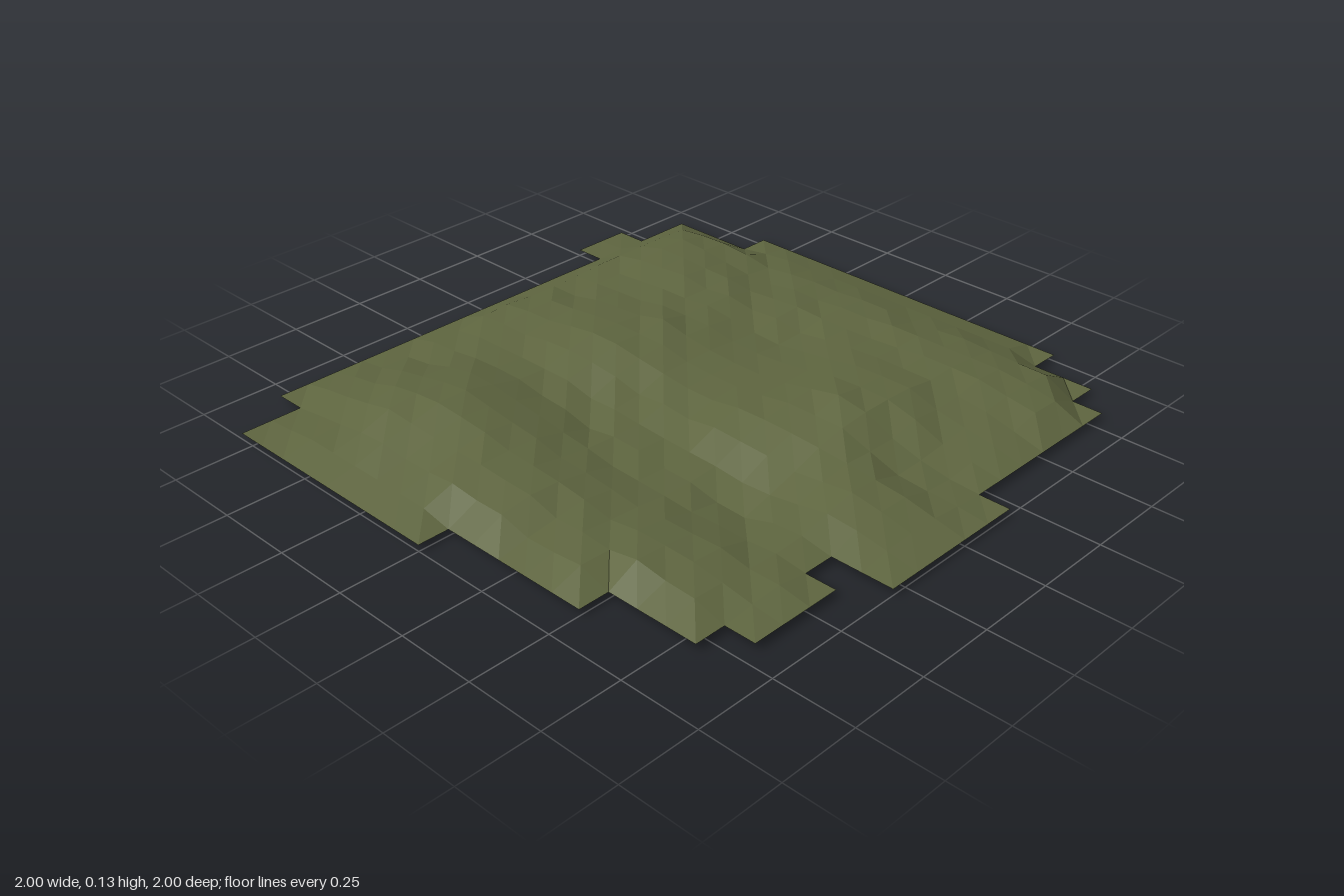
import * as THREE from 'three';

const N = 20, STEP = 0.1, EDGE = 0.02;

// Column ranges [from, to) of the ground cells in each row, back to front
const ROWS = [
  [[15, 17]], [[2, 19]], [[0, 19]], [[0, 19]],
  ...Array(6).fill([[0, 20]]),
  ...Array(5).fill([[1, 20]]),
  [[2, 20]], [[2, 19]], [[2, 19]], [[3, 6], [7, 18]], [[7, 12]],
];

// Highest ground along each column (left to right) and row (back to front), in hundredths
const CREST_X = [2, 4, 7.5, 10, 11.5, 11.5, 9.5, 7, 6.5, 9, 11, 10.5, 13, 11.5, 11, 9.5, 10, 9, 8, 4.5, 2];
const CREST_Z = [2, 2.5, 6.5, 9, 9, 11, 12, 12, 10.5, 8.5, 8, 8, 9, 11, 13, 11.5, 10.5, 8, 6.5, 4, 2];

// Hills and hollows: x, z, height, radius
const HILLS = [
  [-0.55, -0.4, 0.10, 0.3], [-0.68, 0.02, 0.06, 0.2], [-0.62, 0.5, 0.045, 0.25],
  [0.05, -0.32, 0.09, 0.22], [0.0, -0.7, 0.05, 0.25], [0.55, -0.6, 0.07, 0.3],
  [0.2, 0.38, 0.115, 0.27], [0.65, 0.5, 0.07, 0.28], [0.7, 0.0, 0.06, 0.3],
  [0.35, -0.25, 0.04, 0.2], [-0.1, 0.75, 0.045, 0.2], [0.05, 0.05, 0.04, 0.25],
  [-0.3, 0.45, -0.04, 0.15], [0.15, 0.67, -0.02, 0.12], [-0.28, -0.2, -0.02, 0.15],
  [0.75, -0.75, 0.03, 0.18], [0.65, 0.75, 0.03, 0.15],
];

function seeded(seed) {
  return () => (seed = (seed * 16807) % 2147483647) / 2147483647;
}

const hasCell = (i, j) => (ROWS[j] || []).some(([a, b]) => i >= a && i < b);

// Height field: the rim stays flat, the inside follows the hills under the crests
function makeHeights() {
  const rand = seeded(41);
  const heights = [];
  for (let j = 0; j <= N; j++) {
    for (let i = 0; i <= N; i++) {
      const x = -1 + i * STEP, z = -1 + j * STEP;
      let h = EDGE + (rand() - 0.5) * 0.016;
      for (const [hx, hz, height, r] of HILLS) {
        h += height * Math.exp(-((x - hx) ** 2 + (z - hz) ** 2) / (r * r));
      }
      h = Math.max(EDGE, Math.min(h, CREST_X[i] / 100, CREST_Z[j] / 100));
      const inside = hasCell(i, j) && hasCell(i - 1, j) && hasCell(i, j - 1) && hasCell(i - 1, j - 1);
      heights.push(inside ? h : EDGE);
    }
  }
  // Small pit that dips below the rim
  heights[14 * (N + 1) + 7] = 0.003;
  heights[15 * (N + 1) + 7] = 0;
  return heights;
}

export function createModel() {
  const group = new THREE.Group();
  group.name = 'terrainPatch';

  const grass = new THREE.MeshStandardMaterial({ color: 0x5f6640, flatShading: true, side: THREE.DoubleSide });
  grass.name = 'mossGreen';

  const heights = makeHeights();
  const positions = [];
  const corner = (i, j) => positions.push(-1 + i * STEP, heights[j * (N + 1) + i], -1 + j * STEP);

  // Two triangles for each ground cell
  for (let j = 0; j < N; j++) {
    for (let i = 0; i < N; i++) {
      if (!hasCell(i, j)) continue;
      corner(i, j); corner(i, j + 1); corner(i + 1, j);
      corner(i, j + 1); corner(i + 1, j + 1); corner(i + 1, j);
    }
  }

  const geometry = new THREE.BufferGeometry();
  geometry.setAttribute('position', new THREE.Float32BufferAttribute(positions, 3));
  geometry.computeVertexNormals();

  const ground = new THREE.Mesh(geometry, grass);
  ground.name = 'ground';
  group.add(ground);
  return group;
}
